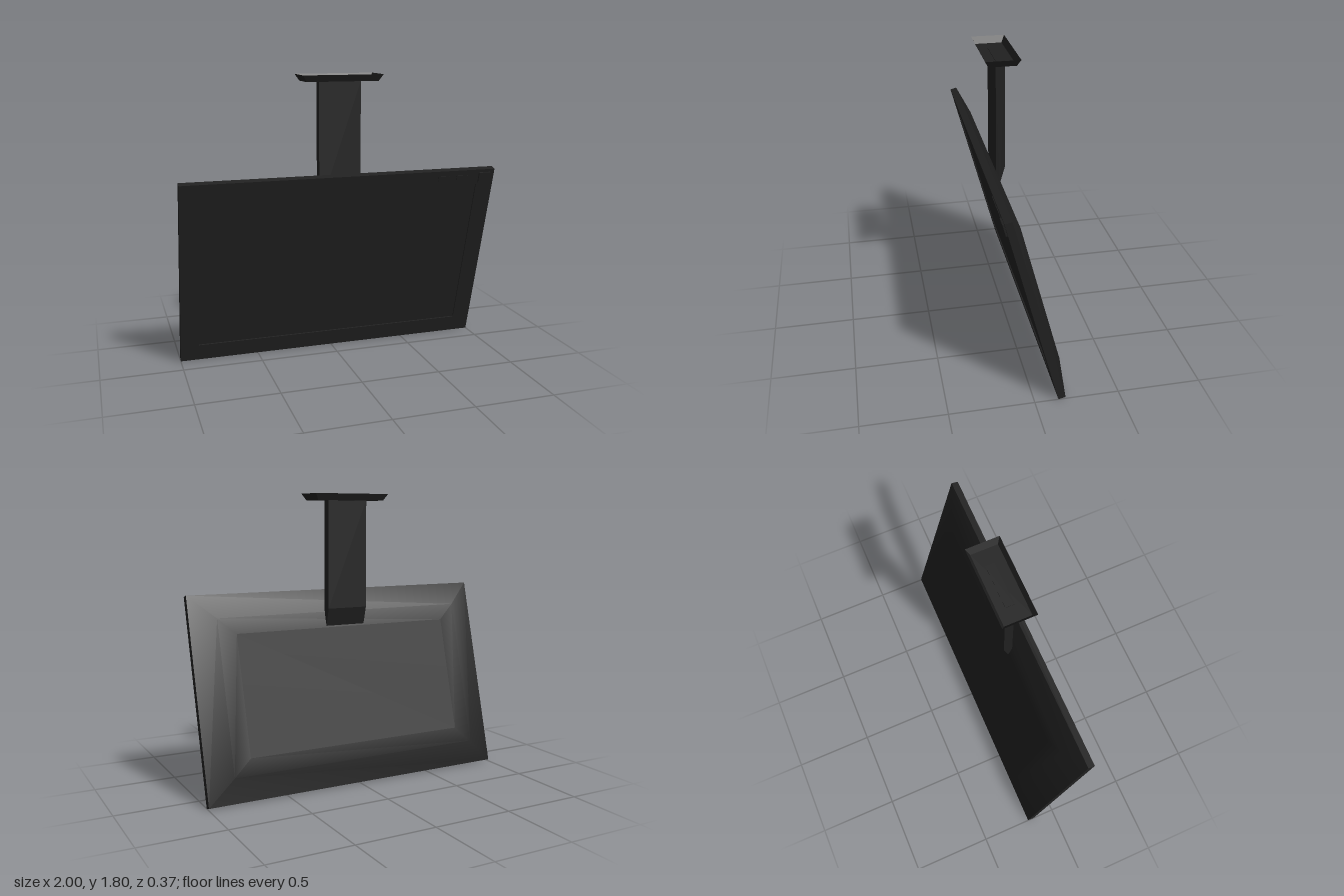
import * as THREE from 'three';

const WIDTH = 2, HEIGHT = 1.236, THICK = 0.043;

// Stacked rectangles [halfWidth, halfHeight, z], joined and capped towards -z
function steppedShell(loops) {
  const points = [], index = [];
  for (const [w, h, z] of loops) points.push(-w, -h, z, w, -h, z, w, h, z, -w, h, z);
  for (let k = 0; k < loops.length - 1; k++) {
    for (let i = 0; i < 4; i++) {
      const a = k * 4 + i, b = k * 4 + (i + 1) % 4;
      index.push(a, a + 4, b + 4, a, b + 4, b);
    }
  }
  const c = (loops.length - 1) * 4;
  index.push(c, c + 3, c + 2, c, c + 2, c + 1);
  const geometry = new THREE.BufferGeometry();
  geometry.setAttribute('position', new THREE.Float32BufferAttribute(points, 3));
  geometry.setIndex(index);
  geometry.computeVertexNormals();
  return geometry;
}

function rectangle(Type, x0, y0, x1, y1) {
  const path = new Type();
  path.moveTo(x0, y0);
  path.lineTo(x1, y0);
  path.lineTo(x1, y1);
  path.lineTo(x0, y1);
  path.closePath();
  return path;
}

export function createModel() {
  const model = new THREE.Group();
  const black = new THREE.MeshStandardMaterial({ color: 0x202020, side: THREE.DoubleSide });
  black.name = 'matte black';

  const add = (parent, name, geometry, x = 0, y = 0, z = 0) => {
    const mesh = new THREE.Mesh(geometry, black);
    mesh.name = name;
    mesh.position.set(x, y, z);
    parent.add(mesh);
    return mesh;
  };

  // Display, leaning forward; its front face lies at local z = 0
  const display = new THREE.Group();
  display.name = 'display';
  display.position.z = -0.14;
  display.rotation.x = THREE.MathUtils.degToRad(15);
  model.add(display);

  const outline = rectangle(THREE.Shape, -WIDTH / 2, 0, WIDTH / 2, HEIGHT);
  outline.holes.push(rectangle(THREE.Path, -0.885, 0.11, 0.885, 1.135));
  add(display, 'bezel', new THREE.ExtrudeGeometry(outline, { depth: THICK, bevelEnabled: false }), 0, 0, -THICK);
  add(display, 'screen', new THREE.BoxGeometry(1.77, 1.025, 0.03), 0, 0.6225, -0.023);

  // Softly shaded bulge of the rear housing
  add(display, 'rearHousing', steppedShell([
    [WIDTH / 2, HEIGHT / 2, 0],
    [WIDTH / 2 - 0.16, HEIGHT / 2 - 0.15, -0.04],
    [WIDTH / 2 - 0.27, HEIGHT / 2 - 0.25, -0.042],
  ]), 0, HEIGHT / 2, -THICK);

  // Controls in the upper corner of the bezel
  for (const x of [0.655, 0.778]) {
    add(display, 'button', new THREE.BoxGeometry(0.078, 0.03, 0.008), x, 1.186, 0);
  }
  add(display, 'sensor', new THREE.BoxGeometry(0.078, 0.07, 0.02), 0.932, 1.182, 0);

  // Hanging arm with a slanted lower end, drawn from the side (z, y)
  const side = new THREE.Shape([
    [0.06, 0.98], [0.06, 1.763], [0.005, 1.763], [0.005, 1.095], [0.037, 0.98],
  ].map(([z, y]) => new THREE.Vector2(-z, y)));
  const arm = new THREE.ExtrudeGeometry(side, { depth: 0.266, bevelEnabled: false });
  arm.translate(0, 0, -0.133).rotateY(Math.PI / 2);
  add(model, 'hangingArm', arm);

  // Open, tapered ceiling tray
  const tray = steppedShell([[0.25, 0.102, 0.04], [0.226, 0.082, 0]]).toNonIndexed();
  tray.computeVertexNormals();
  tray.rotateX(-Math.PI / 2);
  add(model, 'ceilingMount', tray, 0, 1.76, 0.038);

  return model;
}
